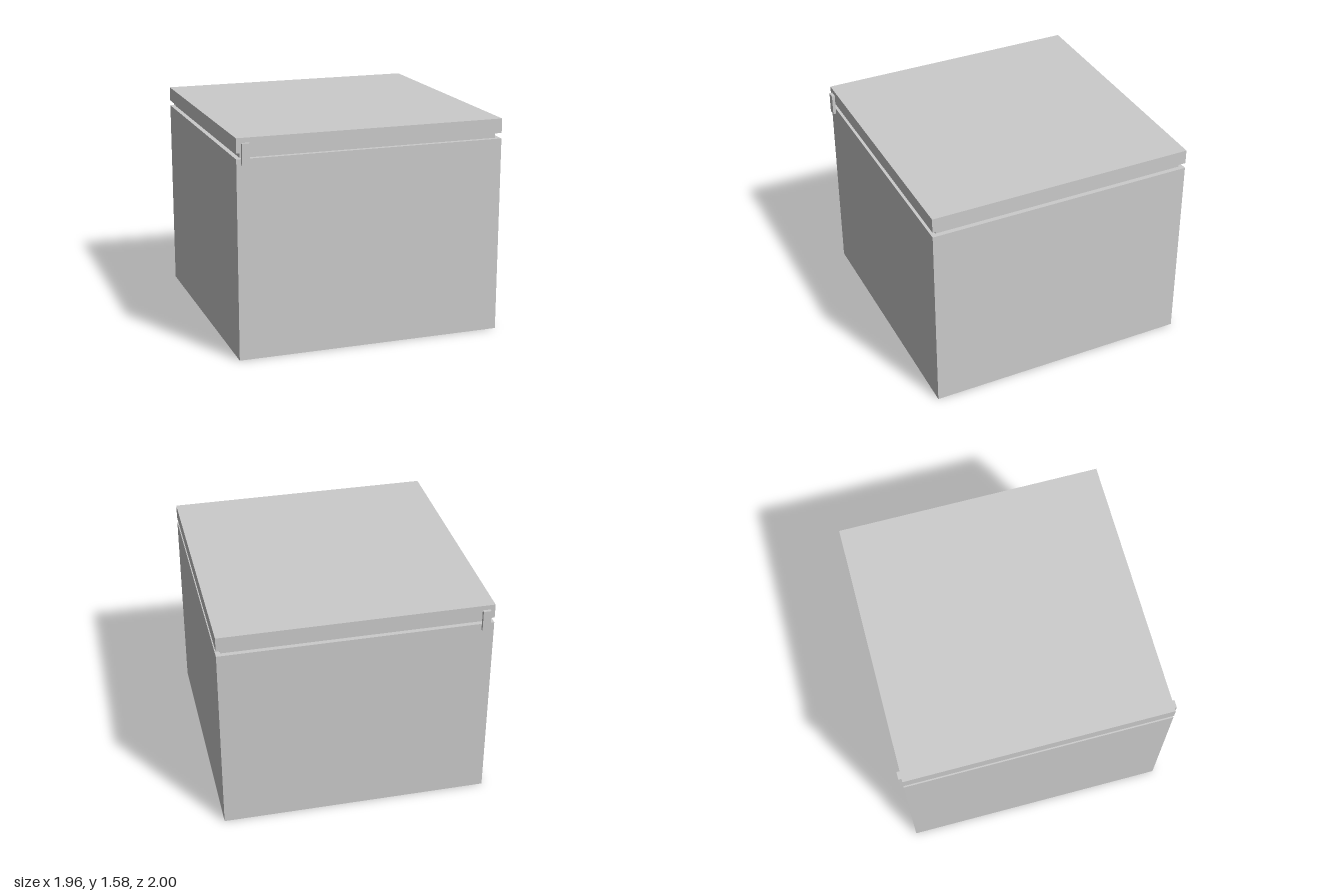
import * as THREE from 'three';

export function createModel() {
  const model = new THREE.Group();
  const material = new THREE.MeshStandardMaterial({ color: 0xcccccc, flatShading: true });

  // Box given by its width, depth, bottom and top, centred on (x, z)
  function addBox(name, width, depth, bottom, top, x = 0, z = 0) {
    const mesh = new THREE.Mesh(new THREE.BoxGeometry(width, top - bottom, depth), material);
    mesh.name = name;
    mesh.position.set(x, (bottom + top) / 2, z);
    model.add(mesh);
  }

  const side = 1.955;
  const half = side / 2;

  // Stacked box: base panel, body, recessed seal and lid
  addBox('basePanel', side, side, 0, 0.006);
  addBox('body', side, side, 0.006, 1.435);
  addBox('recessedSeal', 1.887, 1.887, 1.435, 1.475);
  addBox('lid', side, side, 1.475, 1.58);

  // Hinge plates bridging the gap, front and back
  for (const [name, sign] of [['frontHinge', 1], ['backHinge', -1]]) {
    addBox(name, 0.056, 1 - half, 1.39, 1.545, -0.915, sign * (1 + half) / 2);
  }

  return model;
}
